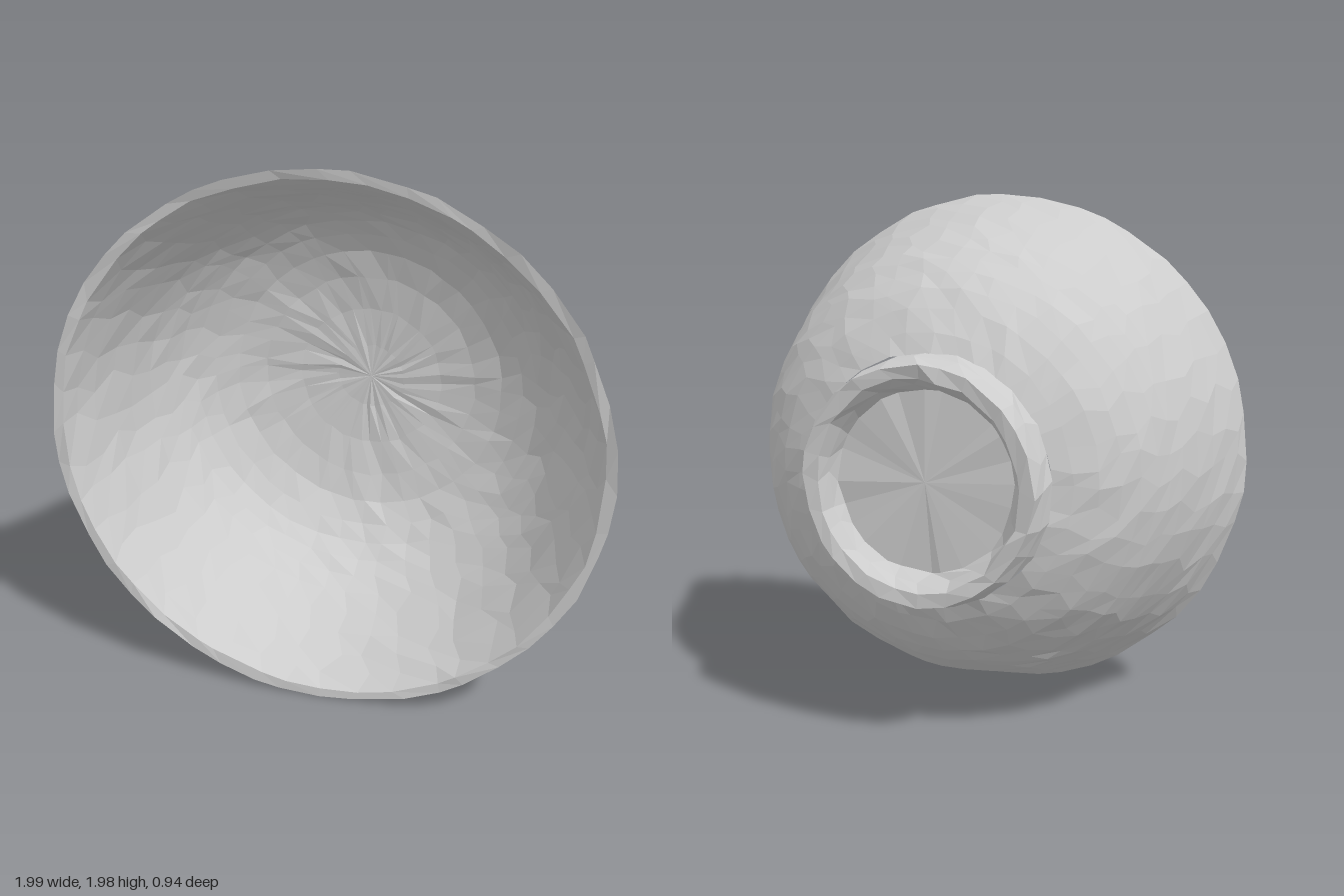
import * as THREE from 'three';

const SIZE = 0.008; // hand-made unevenness

// Repeatable noise from -1 to 1
function noise(a, b) {
  const s = Math.sin(a * 127.1 + b * 311.7) * 43758.5453;
  return (s - Math.floor(s)) * 2 - 1;
}

// Revolve a profile of [radius, depth] about z, with slightly uneven rings
function turned(name, points, segments, material, amount) {
  const geo = new THREE.LatheGeometry(points, segments);
  const pos = geo.attributes.position;
  const rows = points.length;
  for (let i = 0; i < pos.count; i++) {
    const row = i % rows;
    const col = Math.floor(i / rows) % segments;
    const p = points[row];
    if (p.x < 0.01) continue;
    const angle = ((col + 0.3 * noise(row + 9, col)) / segments) * Math.PI * 2;
    const r = p.x + (noise(row, col) - 0.4) * amount * 0.6;
    pos.setXYZ(i, Math.sin(angle) * r, p.y + noise(col, row + 5) * amount * 0.7, Math.cos(angle) * r);
  }
  geo.rotateX(Math.PI / 2);
  geo.computeVertexNormals();
  const mesh = new THREE.Mesh(geo, material);
  mesh.name = name;
  mesh.position.y = 1;
  return mesh;
}

const vectors = (list) => list.map(([r, z]) => new THREE.Vector2(r, z));

export function createModel() {
  const clay = new THREE.MeshStandardMaterial({ color: 0xcccccc, flatShading: true });
  clay.name = 'pale grey clay';

  // Outer wall, from the foot up to the rim
  const outer = new THREE.SplineCurve(vectors([
    [0.45, -0.355], [0.58, -0.285], [0.69, -0.19], [0.77, -0.08],
    [0.825, 0.02], [0.89, 0.2], [0.945, 0.34], [0.995, 0.46],
  ])).getPoints(12);

  // Inner wall, from the rim down to the middle of the floor
  const inner = new THREE.SplineCurve(vectors([
    [0.96, 0.455], [0.905, 0.33], [0.85, 0.18], [0.785, 0.02],
    [0.72, -0.09], [0.63, -0.18], [0.48, -0.255], [0.25, -0.295], [0, -0.305],
  ])).getPoints(14);

  // Foot: recessed base, inner wall, lip and outer wall
  const foot = vectors([
    [0, -0.375], [0.33, -0.375], [0.35, -0.42], [0.375, -0.465],
    [0.425, -0.468], [0.445, -0.41], [0.455, -0.35],
  ]);

  const model = new THREE.Group();
  model.name = 'bowl';
  model.add(
    turned('bowlWall', [...outer, ...inner], 44, clay, SIZE),
    turned('footRing', foot, 24, clay, SIZE * 1.3),
  );
  return model;
}
